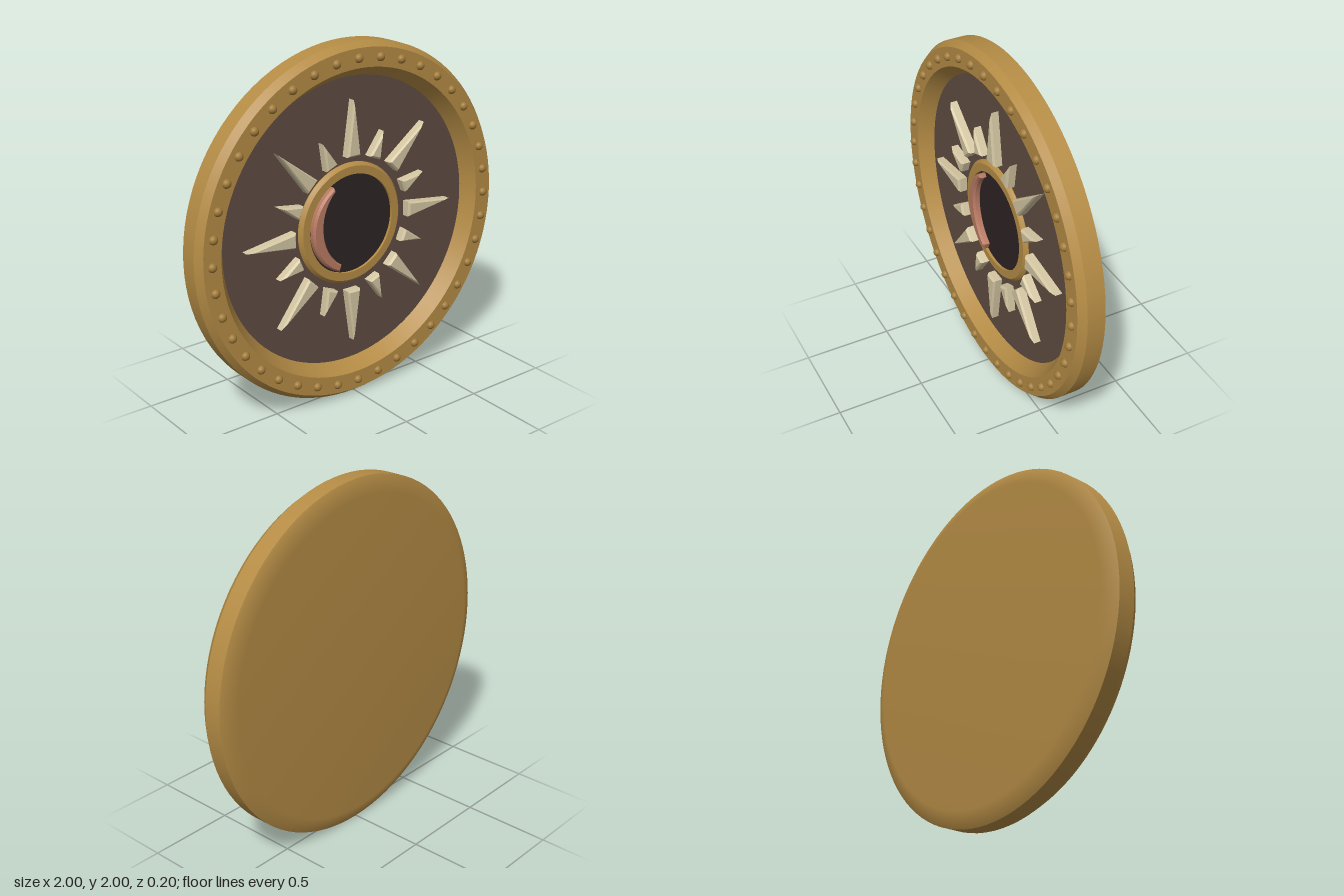
import * as THREE from 'three';
import { ConvexGeometry } from 'three/addons/geometries/ConvexGeometry.js';

const material = (name, color) => Object.assign(new THREE.MeshStandardMaterial({ color }), { name });

export function createModel() {
  const model = new THREE.Group();
  model.name = 'roundShield';
  const gold = material('gold', 0xb58c45);
  const rivetGold = material('rivetGold', 0xa07a38);
  const brown = material('brownFace', 0x5f4c42);
  const dark = material('darkCentre', 0x2e2424);
  const bone = material('boneRays', 0xd4c6a2);
  const copper = material('copper', 0xb87a62);

  // Everything is built facing +z around the shield's centre
  const shield = new THREE.Group();
  shield.name = 'shield';
  shield.position.y = 1;
  model.add(shield);

  const add = (name, geometry, mat, parent = shield) => {
    const mesh = new THREE.Mesh(geometry, mat);
    mesh.name = name;
    parent.add(mesh);
    return mesh;
  };

  // Turned strip through [radius, z] points; separate strips meet in sharp edges
  const turned = (name, profile, parent = shield) => {
    const g = new THREE.LatheGeometry(profile.map(([r, z]) => new THREE.Vector2(r, z)), 96);
    return add(name, g.rotateX(Math.PI / 2), gold, parent);
  };

  const body = new THREE.Group();
  body.name = 'rimAndBack';
  shield.add(body);
  turned('back', [[0, -0.1], [0.91, -0.1], [1, -0.06]], body);
  turned('outerEdge', [[1, -0.06], [1, 0.04]], body);
  turned('frontBevel', [[1, 0.04], [0.97, 0.08]], body);
  turned('rimFace', [[0.97, 0.08], [0.865, 0.08]], body);
  turned('innerSlope', [[0.865, 0.08], [0.81, 0]], body);

  // Recessed face and dark centre
  add('face', new THREE.CircleGeometry(0.812, 96), brown);
  add('centreDisc', new THREE.CircleGeometry(0.285, 64), dark).position.z = 0.01;

  // Ring around the centre
  const ring = new THREE.Group();
  ring.name = 'centreRing';
  shield.add(ring);
  turned('ringBevel', [[0.342, 0], [0.342, 0.008], [0.325, 0.025]], ring);
  turned('ringFace', [[0.325, 0.025], [0.28, 0.025]], ring);
  turned('ringInside', [[0.28, 0.025], [0.28, 0]], ring);

  // Rivets on the rim
  const rivets = new THREE.Group();
  rivets.name = 'rivets';
  shield.add(rivets);
  const dome = new THREE.SphereGeometry(0.025, 16, 8, 0, Math.PI * 2, 0, Math.PI / 2).rotateX(Math.PI / 2);
  for (let i = 0; i < 40; i++) {
    const a = (i / 40) * Math.PI * 2;
    add('rivet', dome, rivetGold, rivets).position.set(0.918 * Math.cos(a), 0.918 * Math.sin(a), 0.078);
  }

  // Tapered ray with a bevelled top, pointing along +x
  const rayGeometry = (r0, r1, half) => {
    const b = 0.01;
    const outline = (inset, tip, z) => [
      new THREE.Vector3(r0 + inset, half - inset, z),
      new THREE.Vector3(r0 + inset, -half + inset, z),
      new THREE.Vector3(r1 - tip, 0, z),
    ];
    return new ConvexGeometry([...outline(0, 0, 0), ...outline(0, 0, 0.04), ...outline(b, b * 4, 0.052)]);
  };
  const rays = new THREE.Group();
  rays.name = 'sunRays';
  shield.add(rays);
  const longRay = rayGeometry(0.383, 0.69, 0.044);
  const shortRay = rayGeometry(0.375, 0.528, 0.038);
  for (let i = 0; i < 16; i++) {
    const isLong = i % 2 === 0;
    add(isLong ? 'longRay' : 'shortRay', isLong ? longRay : shortRay, bone, rays).rotation.z = (i * Math.PI) / 8;
  }

  // Crescent inside the ring, narrower at its upper end
  const outer = [], inner = [];
  for (let i = 0; i <= 28; i++) {
    const t = i / 28;
    const a = THREE.MathUtils.degToRad(119 + t * 130);
    const width = 0.026 + 0.016 * t + 0.036 * Math.sin(Math.PI * t);
    outer.push(new THREE.Vector2(0.27 * Math.cos(a), 0.27 * Math.sin(a)));
    inner.unshift(new THREE.Vector2((0.27 - width) * Math.cos(a), (0.27 - width) * Math.sin(a)));
  }
  const crescent = new THREE.ExtrudeGeometry(new THREE.Shape([...outer, ...inner]), {
    depth: 0.025, bevelEnabled: true, bevelSegments: 1, bevelSize: 0.01, bevelThickness: 0.012, bevelOffset: -0.01,
  });
  add('crescent', crescent, copper).position.z = 0.012;

  return model;
}
